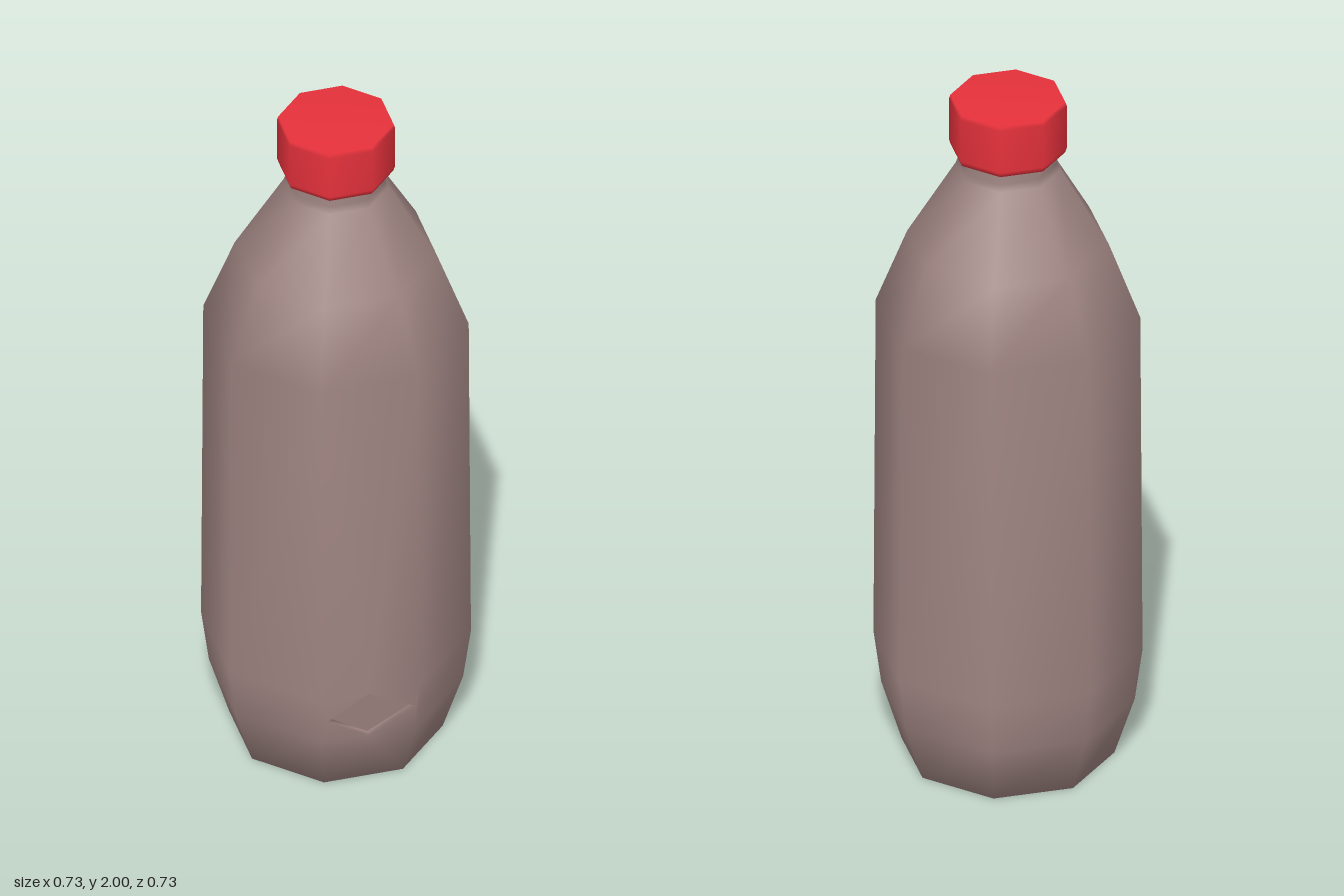
import * as THREE from 'three';

const SIDES = 8;

// Indexed geometry from a list of corner points and faces
function meshGeometry(points, faces) {
  const g = new THREE.BufferGeometry();
  g.setAttribute('position', new THREE.Float32BufferAttribute(points.flat(), 3));
  g.setIndex(faces.flat());
  g.computeVertexNormals();
  return g;
}

export function createModel() {
  const model = new THREE.Group();
  model.name = 'bottle';
  const plastic = new THREE.MeshStandardMaterial({ color: 0x9e8481 });
  plastic.name = 'dusty brown plastic';
  const red = new THREE.MeshStandardMaterial({ color: 0xe5313b });
  red.name = 'red cap';

  const add = (name, geometry, material) => {
    const mesh = new THREE.Mesh(geometry, material);
    mesh.name = name;
    model.add(mesh);
  };

  // Body rings: radius, height
  const profile = [
    [0.287, 0], [0.342, 0.17], [0.363, 0.325], [0.357, 1.35],
    [0.272, 1.57], [0.142, 1.79], [0.134, 1.81], [0.134, 1.87],
  ];
  const points = [];
  const faces = [];
  for (const [r, y] of profile) {
    for (let k = 0; k < SIDES; k++) {
      const a = (k / SIDES) * Math.PI * 2;
      points.push([r * Math.sin(a), y, r * Math.cos(a)]);
    }
  }
  const at = (row, k) => row * SIDES + (k % SIDES);
  const notched = SIDES - 1; // column that carries the recess
  for (let row = 0; row < profile.length - 1; row++) {
    for (let k = 0; k < SIDES; k++) {
      if (k === notched && row < 3) continue;
      const a = at(row, k), b = at(row, k + 1);
      const c = at(row + 1, k + 1), d = at(row + 1, k);
      faces.push([a, b, c], [a, c, d]);
    }
  }

  // Base
  const base = points.push([0, 0, 0]) - 1;
  for (let k = 0; k < SIDES; k++) faces.push([base, at(0, k + 1), at(0, k)]);

  // Diamond recess: rim on the surface, smaller floor pushed inwards
  const rim = [[-0.233, 0.248, 0.353], [-0.12, 0.17, 0.342], [-0.006, 0.25, 0.353], [-0.133, 0.325, 0.363]]
    .map(([x, y, r]) => [x, y, r + 0.414 * x]);
  const depth = 0.018, tilt = Math.PI / 8;
  const floor = rim.map(([x, y, z]) => [
    -0.123 + (x + 0.123) * 0.96 + depth * Math.sin(tilt),
    0.248 + (y - 0.248) * 0.96,
    0.302 + (z - 0.302) * 0.96 - depth * Math.cos(tilt),
  ]);
  const L = points.length, B = L + 1, R = L + 2, T = L + 3;
  points.push(...rim, ...floor);
  for (let i = 0; i < 4; i++) {
    const j = (i + 1) % 4;
    faces.push([L + i, L + j, L + 4 + j], [L + i, L + 4 + j, L + 4 + i]);
  }

  // Panel around the recess
  const [a0, a1, a2, a3] = [0, 1, 2, 3].map((row) => at(row, notched));
  const [b0, b1, b2, b3] = [0, 1, 2, 3].map((row) => at(row, notched + 1));
  faces.push(
    [a0, b0, B], [a0, B, a1], [b0, b1, B],
    [a1, B, L], [a1, L, a2], [a2, L, T],
    [B, b1, R], [b1, b2, R], [R, b2, T],
    [a2, T, a3], [T, b3, a3], [T, b2, b3],
  );
  add('body', meshGeometry(points, faces), plastic);
  add('recessFloor', meshGeometry(floor, [[0, 1, 2], [0, 2, 3]]), plastic);

  // Screw cap
  const capProfile = [[0.12, 1.845], [0.154, 1.845], [0.159, 1.86], [0.159, 1.988], [0.155, 2], [0, 2]]
    .map(([r, y]) => new THREE.Vector2(r, y));
  add('cap', new THREE.LatheGeometry(capProfile, SIDES), red);

  return model;
}
